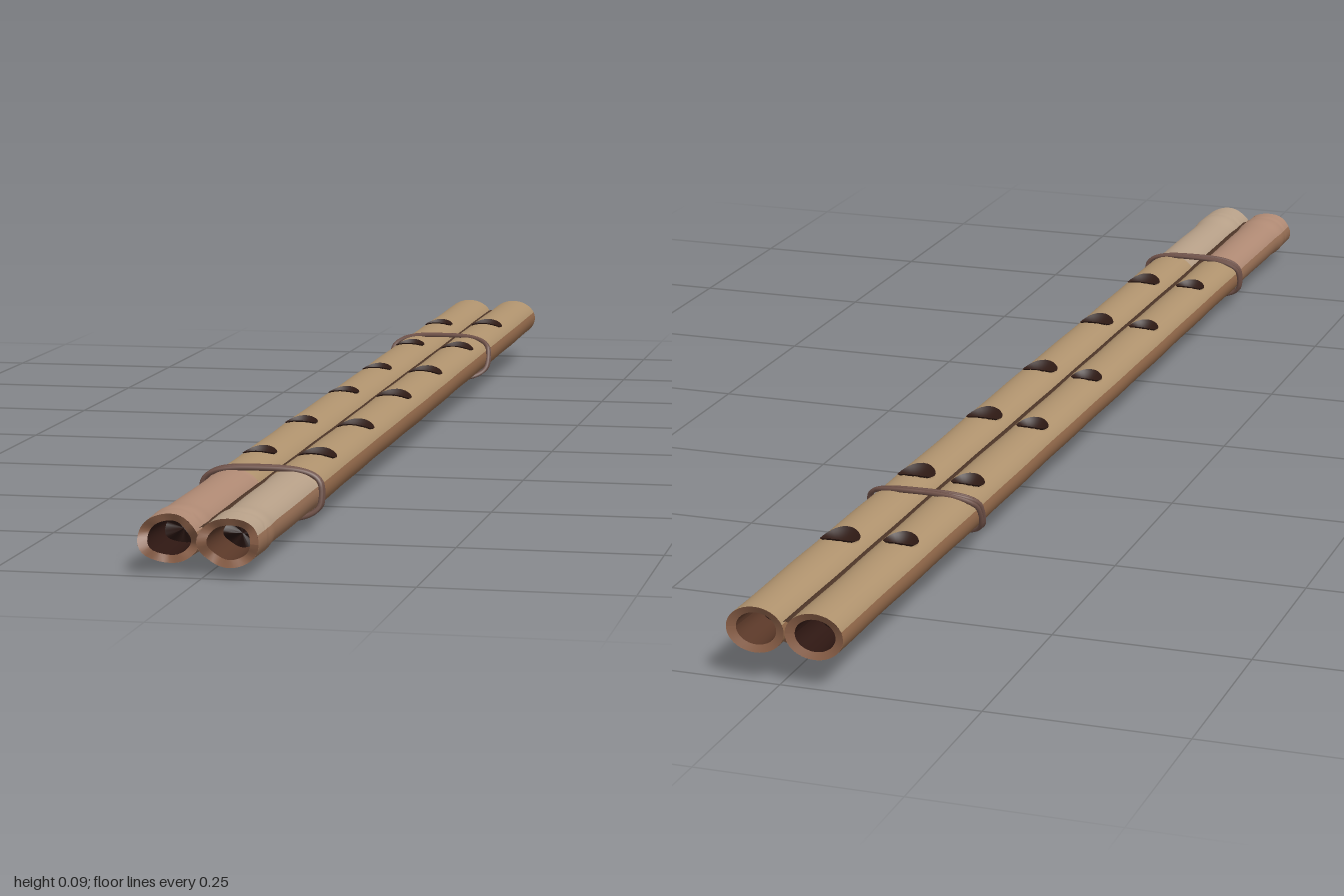
import * as THREE from 'three';

const RX = 0.0365, RY = 0.0285;
const NECK = 0.67;                              // where the mouthpieces begin
const axisY = (z) => 0.053 - 0.012 * z;         // pipes rise slightly towards the back

const PIPES = [
  { name: 'right', cx: -0.044, hx: -0.045, hr: 0.022, end: 0.98, phase: 0, tip: 0xb08a74,
    bore: 0x2e1712, holes: [-0.72, -0.48, -0.225, 0.01, 0.28, 0.52] },
  { name: 'left', cx: 0.030, hx: 0.031, hr: 0.025, end: 0.993, phase: 2, tip: 0xb7a088,
    bore: 0x5a3828, holes: [-0.73, -0.465, -0.205, 0.03, 0.29, 0.525] },
];

const mat = (color) => new THREE.MeshStandardMaterial({ color, roughness: 0.9, side: THREE.DoubleSide });

// Surface from a rule fn(u, v) -> [x, y, z], u and v in 0..1
function sheet(name, color, nu, nv, fn) {
  const pos = [], idx = [];
  for (let j = 0; j <= nv; j++) {
    for (let i = 0; i <= nu; i++) {
      pos.push(...fn(i / nu, j / nv));
      if (i < nu && j < nv) {
        const a = j * (nu + 1) + i, b = a + nu + 1;
        idx.push(a, a + 1, b, a + 1, b + 1, b);
      }
    }
  }
  const g = new THREE.BufferGeometry();
  g.setAttribute('position', new THREE.Float32BufferAttribute(pos, 3));
  g.setIndex(idx);
  g.computeVertexNormals();
  const m = new THREE.Mesh(g, mat(color));
  m.name = name;
  return m;
}

// Gentle hand-cut swelling of a pipe, with a flared lip at the mouth end
function swell(p, z) {
  let k = 1 + 0.012 * Math.sin(9 * z + p.phase) + 0.008 * Math.sin(31 * z + p.phase);
  if (z > NECK) k -= 0.03;
  k += 0.07 * Math.exp(-(((z - 0.93) / 0.02) ** 2));
  if (z > 0.95) k += 0.04;
  return k;
}

// Point on a pipe's outside, dished at every finger hole
function onPipe(p, a, z, scale = 1) {
  const k = swell(p, z) * scale;
  const x = p.cx + RX * k * Math.cos(a);
  let y = axisY(z) + RY * k * Math.sin(a);
  if (scale === 1 && Math.sin(a) > 0) {
    for (const hz of p.holes) {
      const d = Math.hypot(x - p.hx, z - hz) / p.hr;
      if (d < 1) y -= 0.014 * (1 - d * d);
    }
  }
  return [x, y, z];
}

const ragged = (p, a) => 0.006 * Math.sin(3 * a + p.phase) * Math.sin(a + 1);

function buildPipe(p) {
  const g = new THREE.Group();
  g.name = p.name + 'Pipe';
  const t0 = 0.35, t1 = Math.PI - 0.35, full = Math.PI * 2;

  // Cane: pale upper face and darker underside
  g.add(sheet('caneTop', 0xb0936e, 28, 480, (u, v) =>
    onPipe(p, t0 + (t1 - t0) * u, -1 + (1 + NECK) * v)));
  g.add(sheet('caneUnderside', 0x946a4b, 28, 130, (u, v) =>
    onPipe(p, t1 + (full - t1 + t0) * u, -1 + (1 + NECK) * v)));

  // Mouthpiece with an uneven tip
  const mouth = (from, to) => (u, v) => {
    const a = from + (to - from) * u;
    const z = NECK + (p.end + ragged(p, a) - NECK) * v;
    return onPipe(p, a, z);
  };
  g.add(sheet('mouthpieceTop', p.tip, 24, 60, mouth(t0, t1)));
  g.add(sheet('mouthpieceUnderside', 0x9a7156, 24, 60, mouth(t1, full + t0)));

  // Open ends: rim, bore and its floor
  for (const [end, dir, rough] of [[-1, 1, 0], [p.end, -1, 1]]) {
    const ring = (k, depth) => (a) => {
      const [x, y, z] = onPipe(p, a, end + rough * ragged(p, a), k * 0.9999);
      return [x, y, z + dir * depth];
    };
    const band = (name, color, r0, r1) => g.add(sheet(name, color, 32, 1, (u, v) =>
      (v ? r1 : r0)(u * full)));
    band('rim', 0x8a5f47, ring(1, 0), ring(0.7, 0.004));
    band('bore', p.bore, ring(0.7, 0.004), ring(0.6, 0.07));
    band('boreFloor', 0x24120e, ring(0.6, 0.07), ring(0, 0.07));
  }

  // Scorched finger holes
  for (const hz of p.holes) {
    g.add(sheet('fingerHole', 0x2f1a14, 24, 8, (u, v) => {
      const x = p.hx + p.hr * v * Math.cos(u * full);
      const z = hz + p.hr * v * Math.sin(u * full);
      const c = (x - p.cx) / (RX * swell(p, z));
      const q = onPipe(p, Math.acos(THREE.MathUtils.clamp(c, -1, 1)), z);
      return [q[0], q[1] + 0.0013, q[2]];
    }));
  }
  return g;
}

function cord(name, points, closed, r = 0.0032) {
  const curve = new THREE.CatmullRomCurve3(points, closed);
  const m = new THREE.Mesh(new THREE.TubeGeometry(curve, closed ? 80 : 16, r, 6, closed), mat(0x6f5148));
  m.name = name;
  return m;
}

// String lashing around both pipes with a knot underneath
function buildBinding(name, z, slant) {
  const g = new THREE.Group();
  g.name = name;
  for (let n = 0; n < 3; n++) {
    const pts = [];
    for (let i = 0; i < 24; i++) {
      const a = (i / 24) * Math.PI * 2, c = Math.cos(a), s = Math.sin(a);
      const dz = (n - 1) * 0.006 - slant * s * (1 + 0.2 * n) + 0.003 * Math.sin(2 * a + n * 2);
      pts.push(new THREE.Vector3(
        -0.007 + 0.0755 * Math.sign(c) * Math.abs(c) ** 0.65,
        axisY(z + dz) + 0.0305 * Math.sign(s) * Math.abs(s) ** 0.6, z + dz));
    }
    g.add(cord('loop', pts, true));
  }
  const kz = z + slant, ky = axisY(z) - RY - 0.005;
  const knot = new THREE.Mesh(new THREE.TorusKnotGeometry(0.006, 0.003, 48, 6), mat(0x6f5148));
  knot.name = 'knot';
  knot.position.set(0, ky, kz);
  g.add(knot);
  for (const s of [-1, 1]) {
    g.add(cord('looseEnd', [
      new THREE.Vector3(0, ky, kz),
      new THREE.Vector3(s * 0.012, ky - 0.002, kz + 0.012),
      new THREE.Vector3(s * 0.018, ky + 0.002, kz + s * 0.028),
    ], false, 0.0025));
  }
  return g;
}

export function createModel() {
  const model = new THREE.Group();
  model.name = 'doubleFlute';
  for (const p of PIPES) model.add(buildPipe(p));

  // Dark resin filling the groove between the pipes
  model.add(sheet('seam', 0x4e3628, 12, 40, (u, v) => {
    const a = u * Math.PI * 2, z = -0.995 + 1.965 * v;
    return [-0.007 + 0.011 * Math.cos(a), axisY(z) + 0.013 * Math.sin(a), z];
  }));

  model.add(buildBinding('frontBinding', 0.67, 0.004));
  model.add(buildBinding('backBinding', -0.53, 0.018));
  return model;
}
